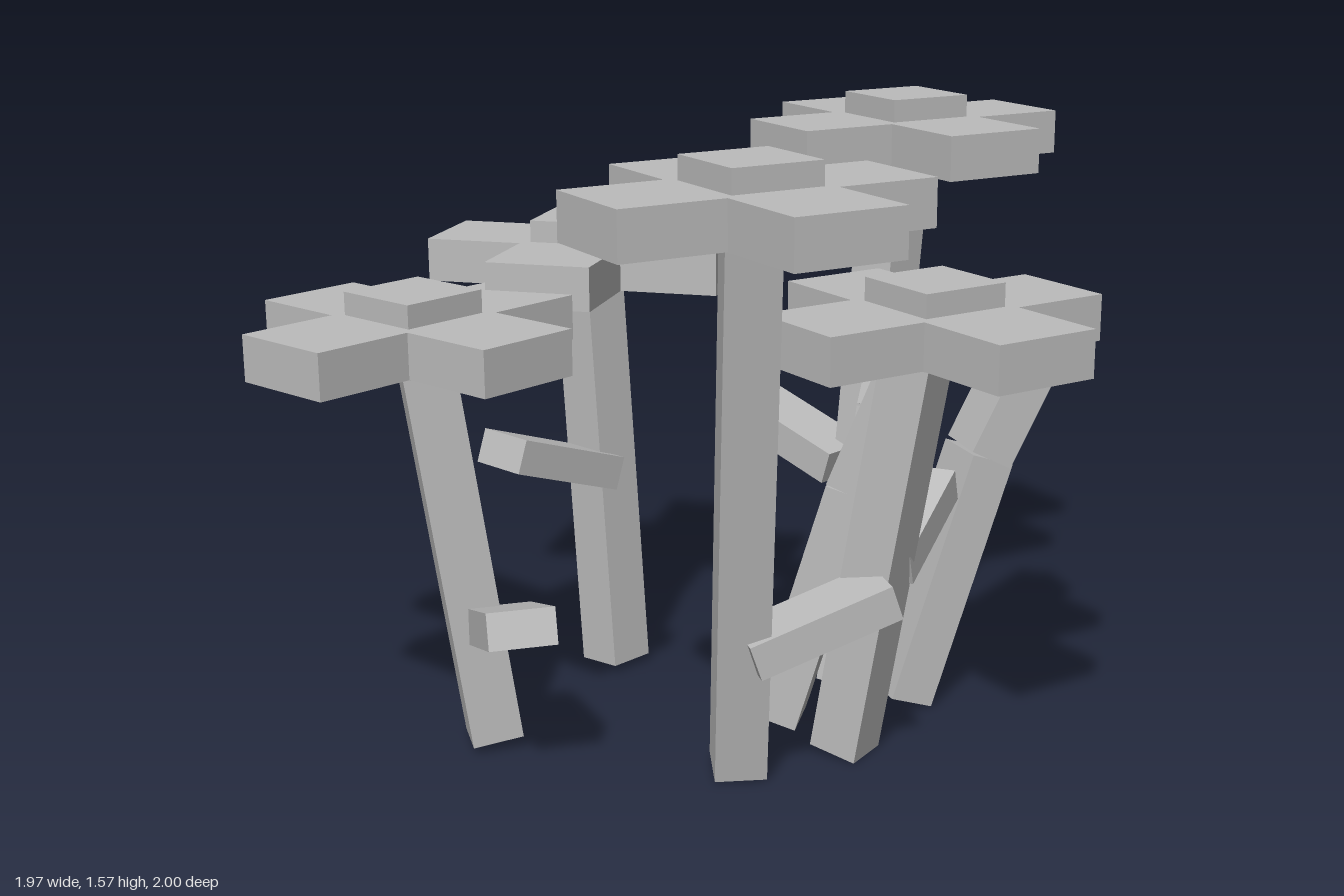
import * as THREE from 'three';

const grey = new THREE.MeshStandardMaterial({ color: 0xbcbcbc });
grey.name = 'plain grey';

// Square beam from p to q; width lies level, depth follows the lean
function beam(name, p, q, width, depth) {
  const a = new THREE.Vector3(...p), b = new THREE.Vector3(...q);
  const along = b.clone().sub(a);
  const length = along.length();
  along.normalize();
  const side = along.clone().cross(new THREE.Vector3(0, 1, 0)).normalize();
  const normal = side.clone().cross(along);
  const mesh = new THREE.Mesh(new THREE.BoxGeometry(width, length, depth), grey);
  mesh.quaternion.setFromRotationMatrix(new THREE.Matrix4().makeBasis(side, along, normal));
  mesh.position.copy(a).add(b).multiplyScalar(0.5);
  mesh.name = name;
  return mesh;
}

// Cross of four square-ended petals, lying flat
const h = 0.1375, r = 0.395;
const cross = new THREE.Shape([
  [h, h], [h, r], [-h, r], [-h, h], [-r, h], [-r, -h],
  [-h, -h], [-h, -r], [h, -r], [h, -h], [r, -h], [r, h],
].map(([x, y]) => new THREE.Vector2(x, y)));
const petalGeometry = new THREE.ExtrudeGeometry(cross, { depth: 0.113, bevelEnabled: false });
petalGeometry.rotateX(-Math.PI / 2);
const heartGeometry = new THREE.BoxGeometry(0.23, 0.18, 0.23);

// head: centre of the bloom at petal underside; turn in degrees
const flowers = [
  { head: [-0.555, 1.083, -0.14], turn: 15, foot: [-0.47, 0.02, -0.12], top: [-0.55, -0.14],
    leaf: [[-0.5, 0.57, -0.1], [-0.585, 0.69, 0.23]] },
  { head: [-0.575, 1.012, 0.58], turn: -11.5, foot: [-0.45, 0.03, 0.485], top: [-0.55, 0.585],
    leaf: [[-0.42, 0.335, 0.49], [-0.19, 0.44, 0.715]] },
  { head: [0.33, 1.395, 0.555], turn: -30, foot: [0.175, 0.02, 0.335], top: [0.33, 0.55],
    leaf: [[0.23, 0.35, 0.39], [0.48, 0.47, 0.145]] },
  { head: [0.57, 1.07, 0.11], turn: -27.3, foot: [0.345, 0.015, 0.09], top: [0.535, 0.1],
    leaf: [[0.42, 0.5, 0.06], [0.39, 0.62, -0.275]] },
  { head: [0.162, 1.4, -0.595], turn: -30.2, foot: [0.115, 0.025, -0.39], top: [0.155, -0.565],
    leaf: [[0.09, 0.59, -0.41], [-0.255, 0.7, -0.49]] },
];

// Broad grass blades: foot, bend and tip
const blades = [
  [[0.11, 0.025, 0], [0.29, 0.655, -0.055], [0.41, 0.97, -0.09]],
  [[0.33, 0.025, -0.265], [0.47, 0.67, -0.43], [0.575, 0.97, -0.54]],
  [[0.2, 0.02, -0.26], [0.23, 0.75, -0.42], [0.25, 1.08, -0.54]],
];

export function createModel() {
  const model = new THREE.Group();
  model.name = 'flowerClump';

  for (const { head, turn, foot, top, leaf } of flowers) {
    const flower = new THREE.Group();
    flower.name = 'flower';

    // Bloom
    const bloom = new THREE.Group();
    bloom.name = 'bloom';
    bloom.position.set(...head);
    bloom.rotation.y = THREE.MathUtils.degToRad(turn);
    const petals = new THREE.Mesh(petalGeometry, grey);
    petals.name = 'petals';
    const heart = new THREE.Mesh(heartGeometry, grey);
    heart.name = 'bloomCentre';
    heart.position.y = 0.08;
    bloom.add(petals, heart);

    // Leaning stem and its side leaf
    flower.add(
      bloom,
      beam('stem', foot, [top[0], head[1] + 0.03, top[1]], 0.128, 0.128),
      beam('leaf', leaf[0], leaf[1], 0.165, 0.09),
    );
    model.add(flower);
  }

  // Bent grass blades
  for (const [foot, bend, tip] of blades) {
    const blade = new THREE.Group();
    blade.name = 'grassBlade';
    blade.add(
      beam('lowerBlade', foot, bend, 0.165, 0.12),
      beam('upperBlade', bend, tip, 0.165, 0.12),
    );
    model.add(blade);
  }
  return model;
}
